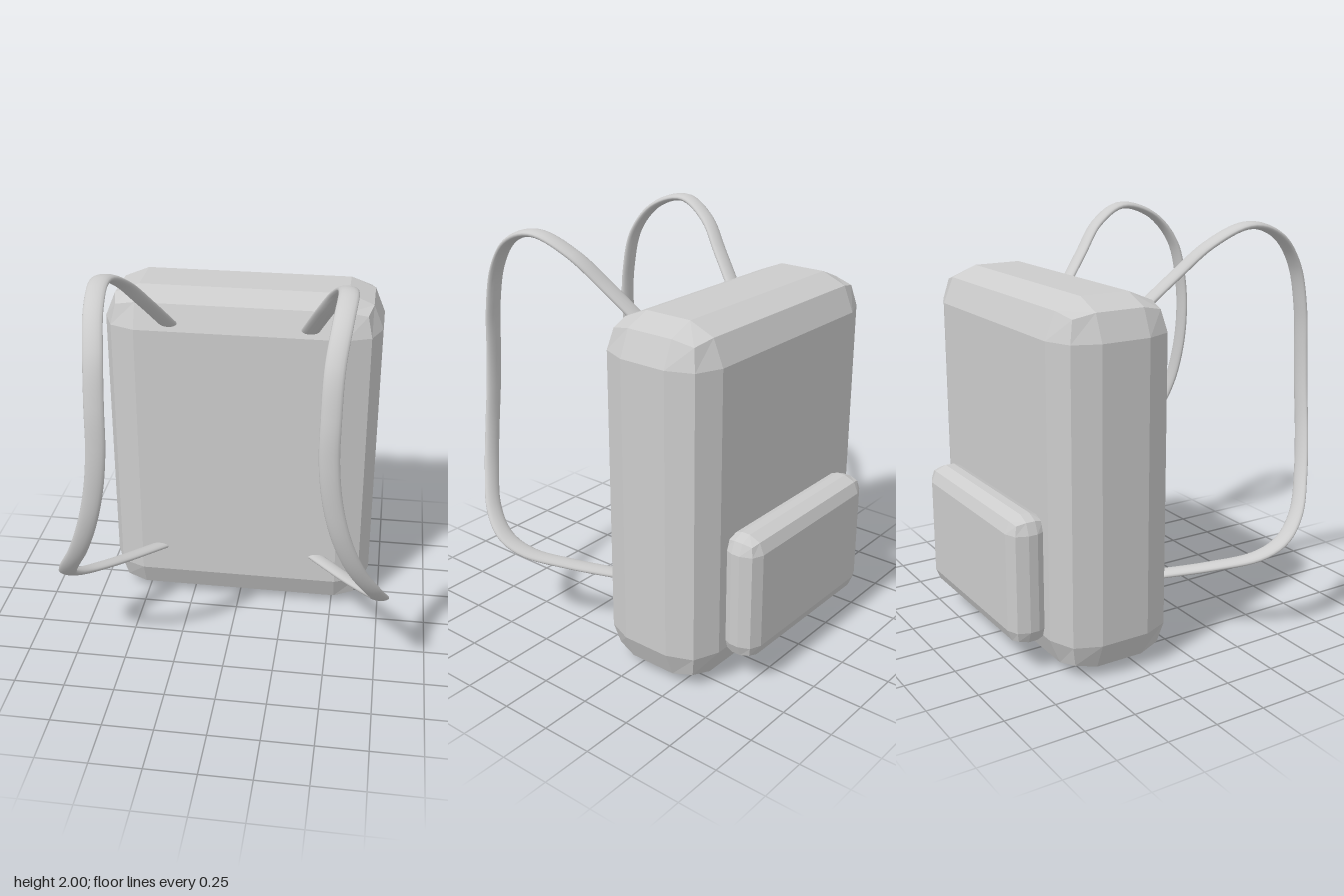
import * as THREE from 'three';
import { RoundedBoxGeometry } from 'three/addons/geometries/RoundedBoxGeometry.js';

export function createModel() {
  const group = new THREE.Group();
  group.name = 'backpack';

  const fabric = new THREE.MeshStandardMaterial({ color: 0xcccccc });
  fabric.name = 'greyFabric';

  // Box with two flat facets around every edge
  function bevelledBox(name, size, radius, position) {
    const geo = new RoundedBoxGeometry(...size, 1, radius);
    geo.computeVertexNormals(); // unshared corners, so this gives flat facets
    const mesh = new THREE.Mesh(geo, fabric);
    mesh.name = name;
    mesh.position.set(...position);
    group.add(mesh);
  }

  bevelledBox('body', [1.38, 1.735, 0.59], 0.175, [0, 0.8675, -0.35]);
  bevelledBox('backPocket', [0.96, 0.625, 0.2], 0.078, [0, 0.4525, -0.7]);

  // Shoulder straps: a thin round tube stretched sideways into a flat band
  const thickness = 0.018;
  const stretch = 2.5;
  const strapPath = [
    [0.34, 1.585, -0.085], [0.42, 1.76, 0.08], [0.49, 1.9, 0.22],
    [0.535, 1.98, 0.4], [0.525, 1.92, 0.59], [0.505, 1.77, 0.715],
    [0.5, 1.55, 0.77], [0.502, 1.35, 0.782], [0.525, 1.15, 0.775],
    [0.57, 0.96, 0.752], [0.64, 0.77, 0.697], [0.72, 0.61, 0.61],
    [0.754, 0.5, 0.5], [0.72, 0.43, 0.38], [0.6, 0.375, 0.2],
    [0.41, 0.317, -0.07],
  ];

  for (const [side, label] of [[1, 'left'], [-1, 'right']]) {
    const points = strapPath.map(([x, y, z]) => new THREE.Vector3((side * x) / stretch, y, z));
    const geo = new THREE.TubeGeometry(new THREE.CatmullRomCurve3(points), 96, thickness, 16);
    geo.scale(stretch, 1, 1);
    const strap = new THREE.Mesh(geo, fabric);
    strap.name = label + 'Strap';
    group.add(strap);
  }

  return group;
}
